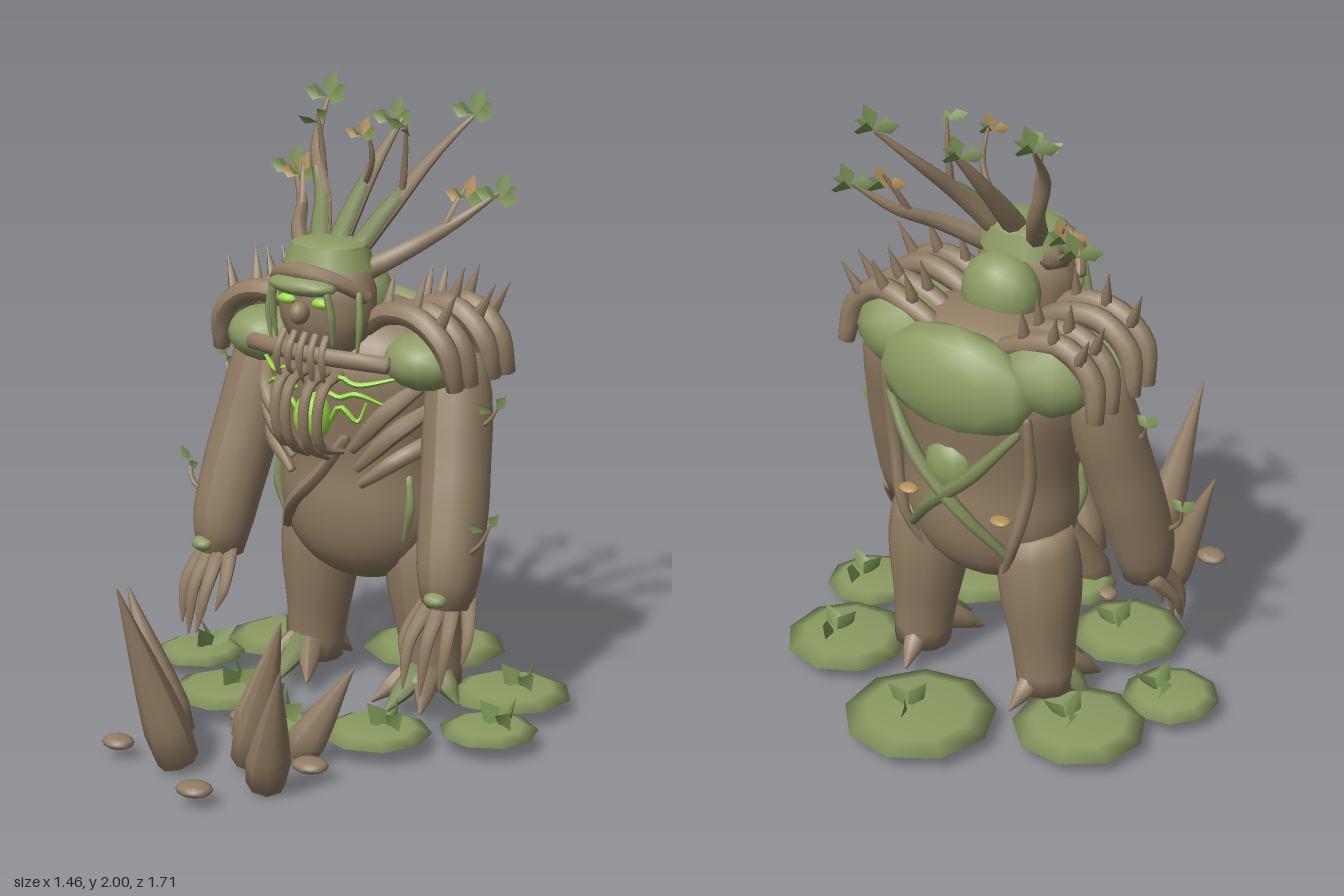
import * as THREE from 'three';

const paint = (name, color, side = THREE.FrontSide) => {
  const m = new THREE.MeshStandardMaterial({ color, side });
  m.name = name;
  return m;
};
const V = (x, y, z) => new THREE.Vector3(x, y, z);

// Torso silhouette: radius and height pairs
const PROFILE = [[0, 0.4], [0.11, 0.42], [0.21, 0.48], [0.27, 0.57], [0.295, 0.68], [0.29, 0.8],
  [0.31, 0.92], [0.34, 1.05], [0.34, 1.14], [0.29, 1.23], [0.17, 1.3], [0, 1.33]];
const DEPTH = 0.75, MIDZ = -0.24;

// Point on the torso surface, pushed out by off; dir 1 is the front, -1 the back
function skin(x, y, off = 0, dir = 1) {
  let i = 1;
  while (i < PROFILE.length - 1 && PROFILE[i][1] < y) i++;
  const [r0, y0] = PROFILE[i - 1], [r1, y1] = PROFILE[i];
  const r = THREE.MathUtils.lerp(r0, r1, THREE.MathUtils.clamp((y - y0) / (y1 - y0), 0, 1));
  return V(x, y, MIDZ + dir * (DEPTH * Math.sqrt(Math.max(r * r - x * x, 0)) + off));
}

// Tube whose thickness follows a list of radii, closed at both ends
function limbGeometry(points, radii, sides = 8, n = 12) {
  const curve = new THREE.CatmullRomCurve3(points);
  const geo = new THREE.TubeGeometry(curve, n, 1, sides);
  const pos = geo.attributes.position, v = V(0, 0, 0);
  for (let i = 0; i <= n; i++) {
    const u = i === 1 ? 0.2 / n : i === n - 1 ? 1 - 0.2 / n : i / n;
    const f = u * (radii.length - 1), k = Math.min(Math.floor(f), radii.length - 2);
    const r = i === 0 || i === n ? 0.001 : THREE.MathUtils.lerp(radii[k], radii[k + 1], f - k);
    const from = curve.getPointAt(i / n), to = curve.getPointAt(u);
    for (let j = 0; j <= sides; j++) {
      const id = i * (sides + 1) + j;
      v.fromBufferAttribute(pos, id).sub(from).multiplyScalar(r).add(to);
      pos.setXYZ(id, v.x, v.y, v.z);
    }
  }
  geo.computeVertexNormals();
  return geo;
}

export function createModel() {
  const bark = paint('bark', 0x907c62);
  const moss = paint('moss', 0x8b9b62);
  const vine = paint('mossy vine', 0x7c8956);
  const leafGreen = paint('leaf green', 0x7b9455, THREE.DoubleSide);
  const leafOchre = paint('dry leaf', 0xb59358, THREE.DoubleSide);
  const glow = paint('glowing sap', 0x9bdb45);
  const model = new THREE.Group();

  const add = (name, geo, mat) => {
    const m = new THREE.Mesh(geo, mat);
    m.name = name;
    model.add(m);
    return m;
  };
  const limb = (name, mat, pts, radii, sides, n) => add(name, limbGeometry(pts, radii, sides, n), mat);
  const blob = (name, mat, p, rx, ry, rz, detail = 2) => {
    const m = add(name, new THREE.IcosahedronGeometry(1, detail), mat);
    m.position.copy(p);
    m.scale.set(rx, ry, rz);
    return m;
  };
  const spike = (name, mat, base, tip, r, sides = 7) => limb(name, mat,
    [base, base.clone().lerp(tip, 0.5), tip], [r * 0.88, r, r * 0.8, r * 0.55, r * 0.28, 0.002], sides, 10);

  // Folded diamond leaf
  const leafGeo = new THREE.BufferGeometry();
  leafGeo.setAttribute('position', new THREE.Float32BufferAttribute(
    [0, 0, 0, 0.3, 0.5, 0.12, 0, 1, 0, -0.3, 0.5, 0.12], 3));
  leafGeo.setIndex([0, 1, 2, 0, 2, 3]);
  leafGeo.computeVertexNormals();
  const leaf = (p, dir, size, mat = leafGreen, roll = 0) => {
    const m = add('leaf', leafGeo, mat);
    m.position.copy(p);
    m.quaternion.setFromUnitVectors(V(0, 1, 0), dir.clone().normalize());
    m.rotateY(roll);
    m.scale.setScalar(size);
  };
  const leafCluster = (p, size, dry = false) => {
    leaf(p, V(-0.9, 0.3, 0.3), size, dry ? leafOchre : leafGreen, 0.4);
    leaf(p, V(0.25, 1, -0.2), size * 1.05, dry ? leafOchre : leafGreen, 0.2);
    leaf(p, V(0.9, 0.05, 0.2), size, leafGreen, -0.5);
    leaf(p, V(0.1, 0.3, -1), size, leafGreen, 0.9);
    leaf(p, V(-0.3, 0.7, 0.8), size * 0.9, leafGreen, -0.9);
  };

  // Torso
  const body = add('torso', new THREE.LatheGeometry(
    new THREE.SplineCurve(PROFILE.map(([r, y]) => new THREE.Vector2(r, y))).getPoints(26)
      .map(p => new THREE.Vector2(Math.max(p.x, 0), p.y)), 20), bark);
  body.scale.z = DEPTH;
  body.position.z = MIDZ;

  // Moss on the back and neck
  blob('upper back moss', moss, V(0, 1.14, -0.41), 0.28, 0.18, 0.115, 1);
  blob('lower back moss', moss, V(0, 0.87, -0.455), 0.085, 0.09, 0.05, 1);
  blob('neck moss', moss, V(0, 1.34, -0.18), 0.13, 0.13, 0.1);

  // Head, cap, brow and face
  const head = limb('head', bark, [V(0, 1.18, 0), V(0, 1.32, 0), V(0, 1.48, 0)],
    [0.1, 0.135, 0.16, 0.168, 0.168, 0.15, 0.12], 14);
  head.scale.z = 0.74;
  head.position.z = -0.04;
  const cap = add('moss cap', new THREE.CylinderGeometry(0.125, 0.15, 0.07, 12), moss);
  cap.position.set(0, 1.485, -0.05);
  cap.scale.z = 0.85;
  blob('cap dome', moss, V(0, 1.515, -0.05), 0.125, 0.022, 0.105);
  limb('brow root', bark, [V(-0.175, 1.37, -0.02), V(-0.11, 1.43, 0.06), V(0, 1.45, 0.09), V(0.11, 1.43, 0.06),
    V(0.175, 1.37, -0.02)], [0.02, 0.03, 0.02]);
  blob('moss brow', moss, V(0, 1.41, 0.085), 0.125, 0.033, 0.06);
  blob('nose', bark, V(0, 1.325, 0.1), 0.03, 0.036, 0.035);
  // Beard roots across the mouth
  for (let i = -2; i <= 2; i++) {
    const x = i * 0.04;
    limb('beard root', bark, [V(x, 1.26, 0.07), V(x * 1.05, 1.21, 0.1), V(x * 1.1, 1.15, 0.1),
      V(x, 1.1 - 0.02 * (i % 2), 0.08)], [0.011, 0.013, 0.004], 6);
  }

  // Glowing core and collar bar
  blob('glowing core', glow, V(0, 0.985, 0.035), 0.06, 0.08, 0.06);
  limb('collar root', bark, [V(-0.27, 1.18, 0), V(0, 1.19, 0.065), V(0.27, 1.18, 0)], [0.028, 0.028, 0.028]);
  // Sash vine over the belly
  limb('sash vine', bark, [skin(-0.22, 0.56, 0.01), skin(-0.12, 0.68, 0.015), skin(0, 0.8, 0.015),
    skin(0.1, 0.93, 0.01)], [0.02, 0.024, 0.018]);

  for (const s of [1, -1]) {
    const S = (x, y, z) => V(s * x, y, z);
    // Face and hanging vines
    blob('eye', glow, S(0.065, 1.358, 0.075), 0.034, 0.017, 0.022);
    limb('hanging vine', moss, [S(0.1, 1.41, 0.1), S(0.112, 1.33, 0.09), S(0.108, 1.23, 0.075)], [0.011, 0.013, 0.004], 6);
    limb('side vine', moss, [S(0.165, 1.4, 0.02), S(0.175, 1.3, 0.03), S(0.165, 1.2, 0.03)], [0.01, 0.012, 0.004], 6);

    // Rib cage: hoops in front of the core, then slanted root ribs
    for (const [x, z, low] of [[0.037, 0.13, 0.87], [0.085, 0.12, 0.9]])
      limb('hoop rib', bark, [S(x, 1.13, 0), S(x, 1.1, z - 0.03), S(x * 0.95, 1, z), S(x * 0.9, 0.91, z - 0.03),
        S(x * 1.1, low - 0.02, 0)], [0.016, 0.017, 0.017, 0.016, 0.01], 7, 14);
    for (const [x0, y0, x1, y1] of [[0.3, 1.1, 0.11, 0.88], [0.32, 1.03, 0.12, 0.82], [0.33, 0.93, 0.13, 0.77]])
      limb('slanted rib', bark, [skin(s * x0, y0, 0), skin(s * (x0 * 0.6 + x1 * 0.4), y0 * 0.6 + y1 * 0.4, 0.03),
        skin(s * x1, y1, 0.015)], [0.022, 0.03, 0.027, 0.014]);
    // Sap veins
    for (const [y, dy, x1] of [[1.12, 0.01, 0.27], [1.09, -0.05, 0.23], [1.0, 0.05, 0.18]])
      limb('sap vein', glow, [skin(s * 0.06, y - 0.02, 0.022), skin(s * 0.1, y + dy * 0.6, 0.026),
        skin(s * 0.15, y - 0.015, 0.028), skin(s * x1, y + dy, 0.022)], [0.009, 0.01, 0.005], 5);

    // Shoulders: moss mounds, root arches and thorns
    blob('front shoulder moss', moss, S(0.305, 1.175, -0.13), 0.135, 0.09, 0.12);
    blob('rear shoulder moss', moss, S(0.26, 1.2, -0.31), 0.16, 0.13, 0.13, 1);
    [-0.07, -0.15, -0.27, -0.35].forEach((z, k) => {
      limb('shoulder arch', bark, [S(0.1, 1.25, z), S(0.2, 1.32 - k * 0.008, z), S(0.33, 1.32, z + 0.01), S(0.43, 1.24, z + 0.01),
        S(0.455, 1.11, z - 0.01)], [0.03, 0.036, 0.037, 0.036, 0.026], 8, 16);
      if (k !== 1) for (const [x, y, lean] of [[0.2, 1.31, 0.01], [0.3, 1.32, 0.03], [0.385, 1.28, 0.06]])
        spike('shoulder thorn', bark, S(x, y, z), S(x + lean, y + 0.14 - k * 0.008, z - 0.03), 0.02, 6);
    });

    // Arm and hand
    limb('arm', bark, [S(0.36, 1.2, -0.22), S(0.38, 1.05, -0.2), S(0.42, 0.78, -0.13), S(0.445, 0.56, -0.07), S(0.45, 0.43, -0.05)],
      [0.08, 0.105, 0.11, 0.108, 0.11, 0.106, 0.1, 0.075], 12, 18);
    blob('wrist moss', moss, S(0.46, 0.48, 0.02), 0.04, 0.025, 0.035, 1);
    for (const [x, tx, ty, z, tz] of [[0.395, 0.37, 0.28, -0.01, 0.07], [0.42, 0.41, 0.21, 0.01, 0.12],
      [0.455, 0.46, 0.19, 0.01, 0.1], [0.485, 0.51, 0.21, -0.01, 0.07], [0.5, 0.545, 0.28, -0.07, 0.0]])
      limb('finger', bark, [S(x, 0.46, z - 0.03), S((x * 0.4 + tx * 0.6) + (x - 0.45) * 0.4, 0.35, (z + tz) / 2 + 0.01),
        S(tx, ty, tz)], [0.026, 0.024, 0.02, 0.015, 0.003], 7);
    // Twigs growing on the arm
    for (const [x, y, z, h] of [[0.47, 0.98, -0.18, 0.07], [0.53, 0.62, -0.06, 0.1]]) {
      limb('arm twig', bark, [S(x, y, z), S(x + 0.04, y + h * 0.4, z), S(x + 0.06, y + h, z - 0.02)], [0.01, 0.008, 0.004], 5, 6);
      leaf(S(x + 0.055, y + h * 0.9, z - 0.02), S(0.4, 0.5, 0.1), 0.065);
      leaf(S(x + 0.05, y + h * 0.8, z), S(-0.9, 0.4, 0.3), 0.06);
    }

    // Leg and rooted foot
    limb('leg', bark, [S(0.185, 0.63, -0.28), S(0.205, 0.5, -0.28), S(0.22, 0.3, -0.285), S(0.24, 0.06, -0.29)],
      [0.115, 0.13, 0.133, 0.127, 0.115, 0.102, 0.095, 0.09], 12, 16);
    for (const [x, z, mat] of [[0.13, -0.1, bark], [0.22, -0.05, vine], [0.32, -0.1, bark], [0.37, -0.24, vine], [0.2, -0.44, bark]])
      limb('toe root', mat, [S(0.24, 0.14, -0.27), S((x + 0.24) / 2, 0.1, (z - 0.27) / 2), S(x, 0.035, z)],
        [0.05, 0.045, 0.03, 0.004], 7);
    blob('foot moss', moss, S(0.24, 0.11, -0.19), 0.05, 0.035, 0.05, 1);

    // Back vines and fungus
    limb('back vine', vine, [skin(s * 0.24, 1.05, 0.015, -1), skin(s * 0.1, 0.88, 0.03, -1),
      skin(-s * 0.06, 0.73, 0.025, -1), skin(-s * 0.18, 0.58, 0.015, -1)], [0.014, 0.024, 0.022, 0.014], 7);
    limb('flank vine', bark, [skin(s * 0.26, 1.1, 0.02, -1), skin(s * 0.25, 0.85, 0.035, -1),
      skin(s * 0.2, 0.62, 0.03, -1), skin(s * 0.14, 0.48, 0.02, -1)], [0.014, 0.02, 0.02, 0.01], 7);
    blob('back shelf fungus', leafOchre, skin(s * 0.17, 0.72, 0.015, -1), 0.035, 0.012, 0.03, 1);
    limb('hip vine', moss, [skin(s * 0.25, 0.8, 0), skin(s * 0.26, 0.7, 0.015), skin(s * 0.23, 0.58, 0)], [0.012, 0.016, 0.006], 6);

    // Low side antler branches
    limb('low branch', bark, [S(0.1, 1.43, -0.08), S(0.22, 1.51, -0.18), S(0.3, 1.58, -0.3), S(0.4, 1.67, -0.38)],
      [0.034, 0.027, 0.018, 0.006], 7);
    limb('low branch twig', bark, [S(0.27, 1.55, -0.26), S(0.29, 1.62, -0.29), S(0.32, 1.7, -0.33)], [0.013, 0.01, 0.005], 5, 6);
    leafCluster(S(0.4, 1.65, -0.38), 0.085);
    leafCluster(S(0.32, 1.65, -0.32), 0.075, true);

    // High side antler branches with moss on their front
    const tip = s > 0 ? V(0.27, 1.89, -0.43) : V(-0.22, 1.91, -0.33);
    limb('high branch', bark, [S(0.06, 1.47, -0.08), S(0.13, 1.62, -0.19), S(0.19, 1.77, tip.z + 0.1), tip],
      [0.033, 0.028, 0.019, 0.006], 7);
    limb('branch moss', vine, [S(0.06, 1.48, -0.07), S(0.095, 1.55, -0.125), S(0.13, 1.625, -0.178), S(0.17, 1.72, tip.z + 0.13)],
      [0.033, 0.029, 0.022, 0.008], 7);
    limb('high branch twig', bark, [S(0.15, 1.66, -0.22), S(0.16, 1.78, -0.22), S(0.17, 1.88, -0.21)], [0.013, 0.01, 0.005], 5, 6);
    leafCluster(tip, 0.085);
    leaf(S(0.17, 1.87, -0.21), S(-0.7, 0.3, 0.3), 0.07);
    leaf(S(0.17, 1.85, -0.21), S(0.5, 0.3, 0.6), 0.065);
  }

  // Middle antler branch
  limb('middle branch', bark, [V(0, 1.47, -0.07), V(0, 1.6, -0.17), V(0.01, 1.74, -0.28), V(0.04, 1.87, -0.38)],
    [0.033, 0.03, 0.022, 0.006], 7);
  limb('branch moss', vine, [V(0, 1.48, -0.06), V(0, 1.6, -0.158), V(0.008, 1.74, -0.268)], [0.033, 0.031, 0.024, 0.01], 7);
  limb('middle twig', bark, [V(0, 1.66, -0.22), V(0.05, 1.76, -0.2), V(0.05, 1.86, -0.17)], [0.013, 0.01, 0.005], 5, 6);
  leafCluster(V(0, 1.85, -0.38), 0.08);
  leafCluster(V(0.05, 1.84, -0.15), 0.06, true);

  // Ground pads with sprouts
  for (const [x, z, r] of [[0.01, -0.62, 0.24], [-0.43, -0.39, 0.21], [0.45, -0.41, 0.2], [-0.58, -0.1, 0.155],
    [0.58, -0.1, 0.155], [-0.28, 0.12, 0.19], [0.31, 0.12, 0.175], [0.01, 0.26, 0.135]]) {
    const pad = add('ground pad', new THREE.SphereGeometry(1, 9, 4), moss);
    pad.position.set(x, 0.047, z);
    pad.scale.set(r, 0.018 + r * 0.06, r);
    pad.rotation.y = x * 3;
    const p = V(x + 0.03, 0.055, z - 0.02);
    for (let k = 0; k < 3; k++)
      leaf(p, V(Math.cos(k * 2.1 + x), 1 + 0.4 * (k % 2), Math.sin(k * 2.1 + x)), 0.11, leafGreen, k);
  }

  // Ground thorns: base x, z, tip x, y, z, radius
  for (const [x, z, tx, ty, tz, r] of [[-0.06, 0.62, -0.13, 0.61, 0.81, 0.072], [0.25, 0.59, 0.4, 0.44, 0.71, 0.068],
    [0.1, 0.48, 0.28, 0.52, 0.55, 0.068], [0.19, 0.36, 0.34, 0.31, 0.27, 0.062],
    [-0.2, 0.47, -0.38, 0.48, 0.48, 0.072], [0, 0.36, 0, 0.36, 0.2, 0.066]])
    spike('ground thorn', bark, V(x, 0.015, z), V(tx, ty, tz), r, 8);

  // Pebbles
  for (const [x, z, r] of [[-0.1, 0.27, 0.042], [0.31, 0.45, 0.06], [-0.27, 0.66, 0.053], [0.15, 0.8, 0.06]])
    blob('pebble', bark, V(x, 0.045, z), r, 0.022, r * 0.85, 1);

  return model;
}
